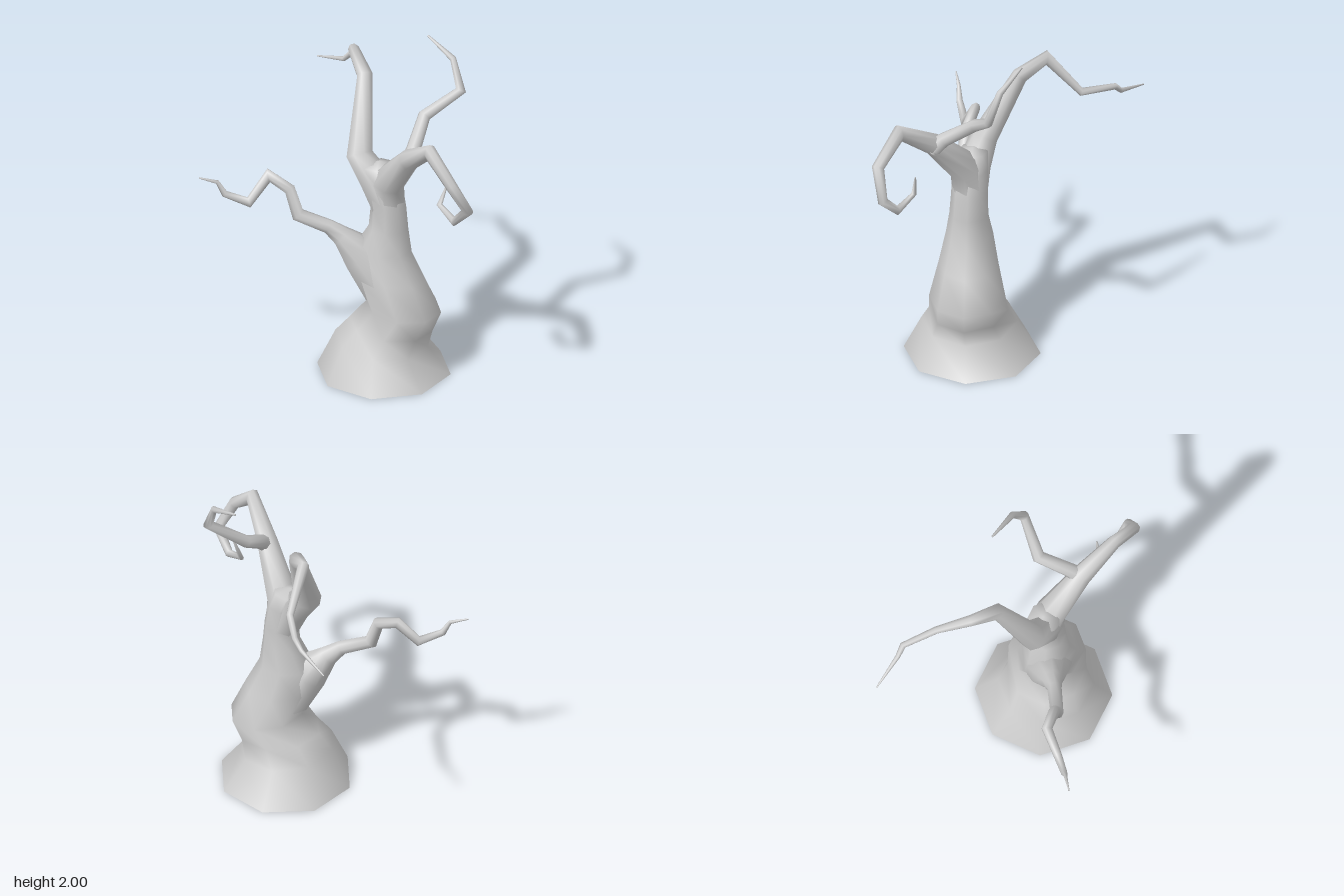
import * as THREE from 'three';

const SIDES = 8;
const material = new THREE.MeshStandardMaterial({ color: 0xcccccc, side: THREE.DoubleSide });

// Skin a list of rings (each SIDES points, anticlockwise about the growth direction) and close the end.
function loft(name, rings, tip) {
  const pos = [], index = [];
  rings.forEach(r => r.forEach(p => pos.push(p.x, p.y, p.z)));
  pos.push(tip.x, tip.y, tip.z);
  const end = rings.length * SIDES;
  for (let i = 0; i < rings.length; i++) {
    for (let j = 0; j < SIDES; j++) {
      const k = (j + 1) % SIDES;
      const a = i * SIDES + j, b = i * SIDES + k;
      if (i === rings.length - 1) index.push(a, b, end);
      else index.push(a, b, a + SIDES, b, b + SIDES, a + SIDES);
    }
  }
  const geo = new THREE.BufferGeometry();
  geo.setAttribute('position', new THREE.Float32BufferAttribute(pos, 3));
  geo.setIndex(index);
  geo.computeVertexNormals();
  const mesh = new THREE.Mesh(geo, material);
  mesh.name = name;
  return mesh;
}

// Tapered crooked limb through [x, y, z, radius] knots, with mitred elbows.
function limb(name, knots) {
  const pts = knots.map(k => new THREE.Vector3(k[0], k[1], k[2]));
  const dirs = pts.slice(1).map((p, i) => p.clone().sub(pts[i]).normalize());
  const u = new THREE.Vector3(0, 0, 1).cross(dirs[0]).normalize();
  const v = dirs[0].clone().cross(u);
  const rings = pts.map((p, i) => {
    const din = dirs[Math.max(i - 1, 0)], dout = dirs[Math.min(i, dirs.length - 1)];
    const n = din.clone().add(dout).normalize();
    const ring = [];
    for (let j = 0; j < SIDES; j++) {
      const a = (j / SIDES) * Math.PI * 2;
      const o = u.clone().multiplyScalar(Math.cos(a)).addScaledVector(v, Math.sin(a));
      o.multiplyScalar(knots[i][3]);
      o.addScaledVector(din, -o.dot(n) / din.dot(n)); // slide onto the mitre plane
      ring.push(o.add(p));
    }
    const turn = new THREE.Quaternion().setFromUnitVectors(din, dout);
    u.applyQuaternion(turn);
    v.applyQuaternion(turn);
    return ring;
  });
  return loft(name, rings, pts[pts.length - 1]);
}

// Trunk rings: centre x, y, z, radius x, radius z, slope of the ring along x
function trunk() {
  const rows = [
    [0.205, 0, 0.2, 0.387, 0.392, 0],
    [0.195, 0.2, 0.215, 0.268, 0.275, -0.11],
    [0.25, 0.3, 0.215, 0.24, 0.225, -0.1],
    [0.325, 0.42, 0.21, 0.215, 0.22, -0.1],
    [0.245, 0.61, 0.215, 0.21, 0.17, -0.08],
    [0.205, 0.78, 0.215, 0.165, 0.135, -0.05],
    [0.235, 0.92, 0.215, 0.115, 0.112, 0],
    [0.235, 1.05, 0.212, 0.103, 0.105, 0],
    [0.21, 1.2, 0.21, 0.105, 0.102, 0],
    [0.175, 1.3, 0.2, 0.1, 0.085, 0.05],
  ];
  const rings = rows.map(([cx, y, cz, rx, rz, slope]) => {
    const ring = [];
    for (let j = 0; j < SIDES; j++) {
      const a = (j / SIDES) * Math.PI * 2 + 0.04;
      const dx = rx * Math.cos(a);
      ring.push(new THREE.Vector3(cx + dx, y + slope * dx, cz - rz * Math.sin(a)));
    }
    return ring;
  });
  return loft('trunk', rings, new THREE.Vector3(0.175, 1.325, 0.2));
}

export function createModel() {
  const tree = new THREE.Group();
  tree.name = 'bareTree';
  tree.add(trunk());

  // Low branch zigzagging to the right side
  tree.add(limb('lowBranch', [
    [0.21, 0.56, 0.22, 0.15], [0.08, 0.74, 0.24, 0.12], [-0.03, 0.86, 0.27, 0.06],
    [-0.1, 0.92, 0.29, 0.042], [-0.27, 0.99, 0.32, 0.038], [-0.32, 1.14, 0.31, 0.033],
    [-0.45, 1.2, 0.28, 0.03], [-0.55, 1.05, 0.35, 0.025], [-0.68, 1.115, 0.4, 0.019],
    [-0.72, 1.19, 0.41, 0.011], [-0.82, 1.22, 0.44, 0.004],
  ]));

  // Tall limb rising from the fork and bending to the back
  tree.add(limb('backLimb', [
    [0.23, 1.05, 0.21, 0.1], [0.16, 1.2, 0.2, 0.1], [0.05, 1.33, 0.15, 0.077],
    [0.035, 1.735, -0.05, 0.046], [-0.06, 1.81, -0.19, 0.034], [-0.06, 1.6, -0.39, 0.022],
    [-0.165, 1.59, -0.57, 0.018], [-0.215, 1.535, -0.595, 0.014], [-0.395, 1.48, -0.7, 0.004],
  ]));

  // Limb reaching forward and curling back under itself
  tree.add(limb('curledLimb', [
    [0.23, 1.05, 0.21, 0.1], [0.235, 1.22, 0.23, 0.095], [0.4, 1.46, 0.4, 0.062],
    [0.56, 1.61, 0.57, 0.04], [0.71, 1.46, 0.67, 0.034], [0.795, 1.29, 0.63, 0.028],
    [0.7, 1.18, 0.56, 0.023], [0.595, 1.235, 0.48, 0.015], [0.64, 1.37, 0.465, 0.005],
  ]));

  // Upper twig growing out of the curled limb
  tree.add(limb('upperTwig', [
    [0.4, 1.43, 0.4, 0.055], [0.41, 1.5, 0.33, 0.042], [0.43, 1.62, 0.15, 0.036],
    [0.62, 1.755, 0.05, 0.027], [0.56, 1.92, -0.01, 0.019], [0.39, 1.998, -0.11, 0.006],
  ]));
  return tree;
}
